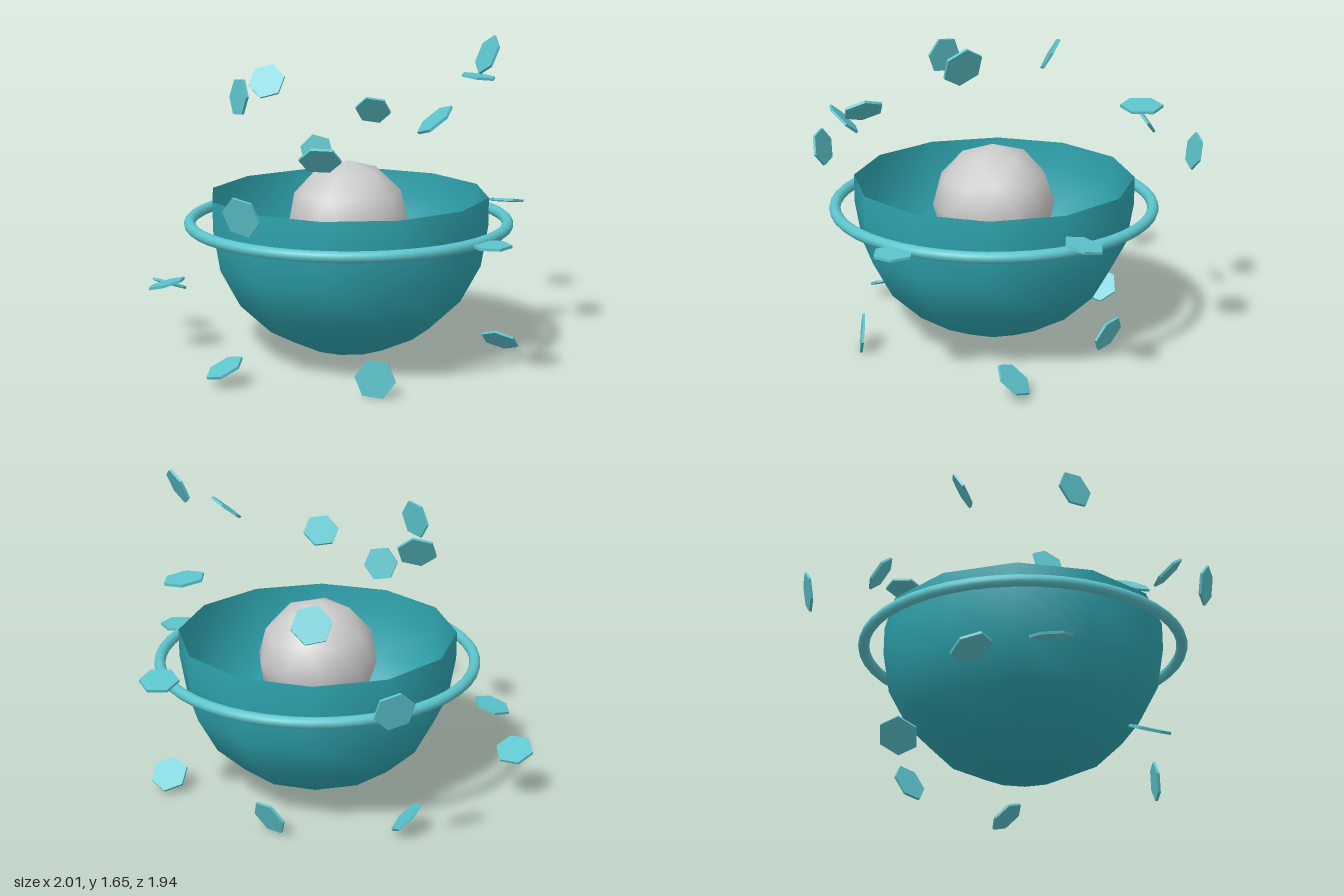
import * as THREE from 'three';

const CENTRE = [0.05, 0.715, 0];

// Floating hexagonal plates: position, normal, spin about the normal in degrees
const PLATES = [
  [[-0.505, 1.37, 0], [0.4, 0.5, 0.75], 15],
  [[-0.235, 1.36, 0.48], [-0.36, 0.1, 0.93], 15],
  [[0.205, 1.37, -0.88], [0.1, 1, -0.06], 30],
  [[0.705, 1.57, -0.245], [-0.45, 0.4, 0.8], 30],
  [[0.775, 1.32, 0.255], [-0.38, 0.78, 0.5], 15],
  [[-0.315, 1.17, -0.635], [-0.45, 0.58, -0.65], 15],
  [[0.425, 1.145, 0.64], [-0.45, 0.72, -0.53], 15],
  [[0.22, 0.905, 0.94], [0.19, -0.22, 0.95], 30],
  [[-0.785, 0.885, -0.705], [0.7, 0.2, 0.67], 0],
  [[0.92, 0.715, 0], [0, 1, 0], 0],
  [[0.48, 0.76, -0.745], [-0.1, 0.97, -0.2], 0],
  [[-0.905, 0.295, 0.34], [0, 0.91, -0.4], 35],
  [[-0.655, 0.385, 0.59], [-0.25, 0.96, 0.1], 35],
  [[-0.615, 0.105, -0.255], [0.66, 0.68, -0.25], 0],
  [[-0.08, 0.1, 0.76], [-0.22, 0.89, 0.37], 30],
  [[0.585, 0.105, 0.44], [0.6, 0.1, 0.79], 0],
  [[0.65, 0.1, -0.48], [-0.15, 0.77, -0.62], 15],
  [[-0.05, 0.105, -0.605], [-0.15, 0.35, 0.93], 15],
];

export function createModel() {
  const model = new THREE.Group();
  const teal = new THREE.MeshStandardMaterial({ color: 0x2fa5b0, side: THREE.DoubleSide });
  const ringMat = new THREE.MeshStandardMaterial({ color: 0x5cc4cc });
  const plateMat = new THREE.MeshStandardMaterial({ color: 0x5cc4cc, flatShading: true });
  const grey = new THREE.MeshStandardMaterial({ color: 0xcccccc });

  function add(parent, name, geometry, material, position) {
    const mesh = new THREE.Mesh(geometry, material);
    mesh.name = name;
    mesh.position.set(...position);
    parent.add(mesh);
    return mesh;
  }

  // Open bowl: flattened half sphere with a short upright rim, twelve sides
  const profile = [];
  for (let i = 0; i <= 5; i++) {
    const a = (i / 5) * Math.PI / 2;
    profile.push(new THREE.Vector2(0.7 * Math.sin(a), -0.67 * Math.cos(a)));
  }
  profile.push(new THREE.Vector2(0.7, 0.14));
  add(model, 'bowl', new THREE.LatheGeometry(profile, 12), teal, CENTRE);

  // Core ball, turned so a corner points straight up
  const ball = new THREE.IcosahedronGeometry(0.305, 1);
  ball.rotateX(-Math.atan((1 + Math.sqrt(5)) / 2)).rotateY(Math.PI / 2);
  add(model, 'core', ball, grey, CENTRE);

  // Ring around the bowl
  const torus = new THREE.TorusGeometry(0.793, 0.028, 12, 48);
  torus.rotateX(Math.PI / 2);
  add(model, 'ring', torus, ringMat, CENTRE);

  // Plates scattered around the bowl
  const plates = new THREE.Group();
  plates.name = 'floatingPlates';
  model.add(plates);
  const hexagon = new THREE.CylinderGeometry(0.097, 0.097, 0.013, 6);
  const up = new THREE.Vector3(0, 1, 0);
  PLATES.forEach(([position, normal, spin], i) => {
    const plate = add(plates, `plate${i + 1}`, hexagon, plateMat, position);
    plate.quaternion.setFromUnitVectors(up, new THREE.Vector3(...normal).normalize());
    plate.rotateY(THREE.MathUtils.degToRad(spin));
  });

  return model;
}
